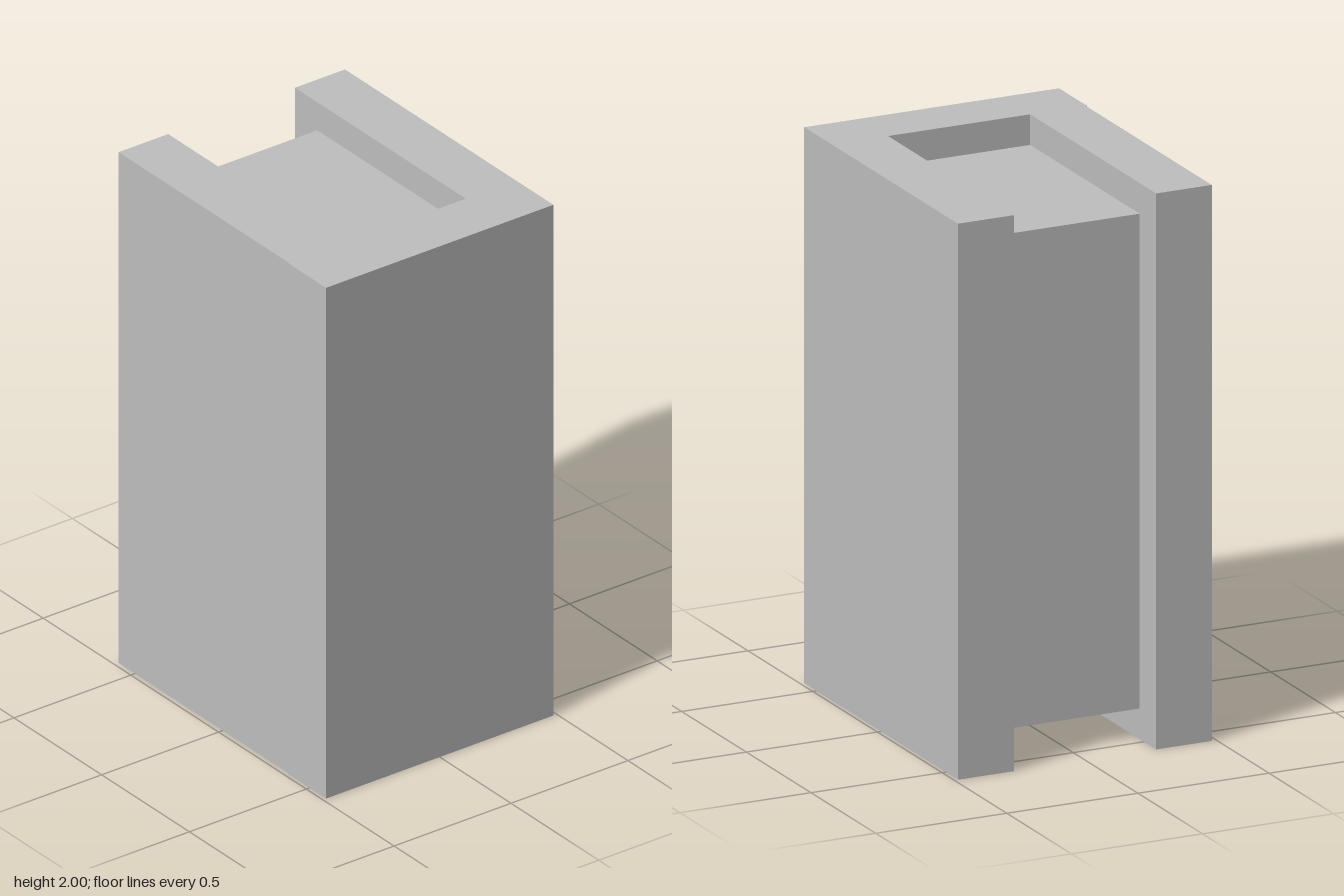
import * as THREE from 'three';

export function createModel() {
  const group = new THREE.Group();
  const grey = new THREE.MeshStandardMaterial({ color: 0xbfbfbf });
  grey.name = 'light grey';

  // Box given by its lowest and highest corner
  function block(name, [x0, y0, z0], [x1, y1, z1]) {
    const mesh = new THREE.Mesh(new THREE.BoxGeometry(x1 - x0, y1 - y0, z1 - z0), grey);
    mesh.name = name;
    mesh.position.set((x0 + x1) / 2, (y0 + y1) / 2, (z0 + z1) / 2);
    group.add(mesh);
  }

  // U-shaped shell: two side walls joined by an end wall
  block('backWall', [-0.594, 0, -0.486], [0.38, 2, -0.272]);
  block('frontWall', [-0.594, 0, 0.27], [0.38, 2, 0.482]);
  block('endWall', [0.38, 0, -0.486], [0.594, 2, 0.486]);

  // Core filling the channel, recessed at the top, bottom and open end
  block('core', [-0.467, 0.11, -0.272], [0.38, 1.89, 0.27]);

  return group;
}
